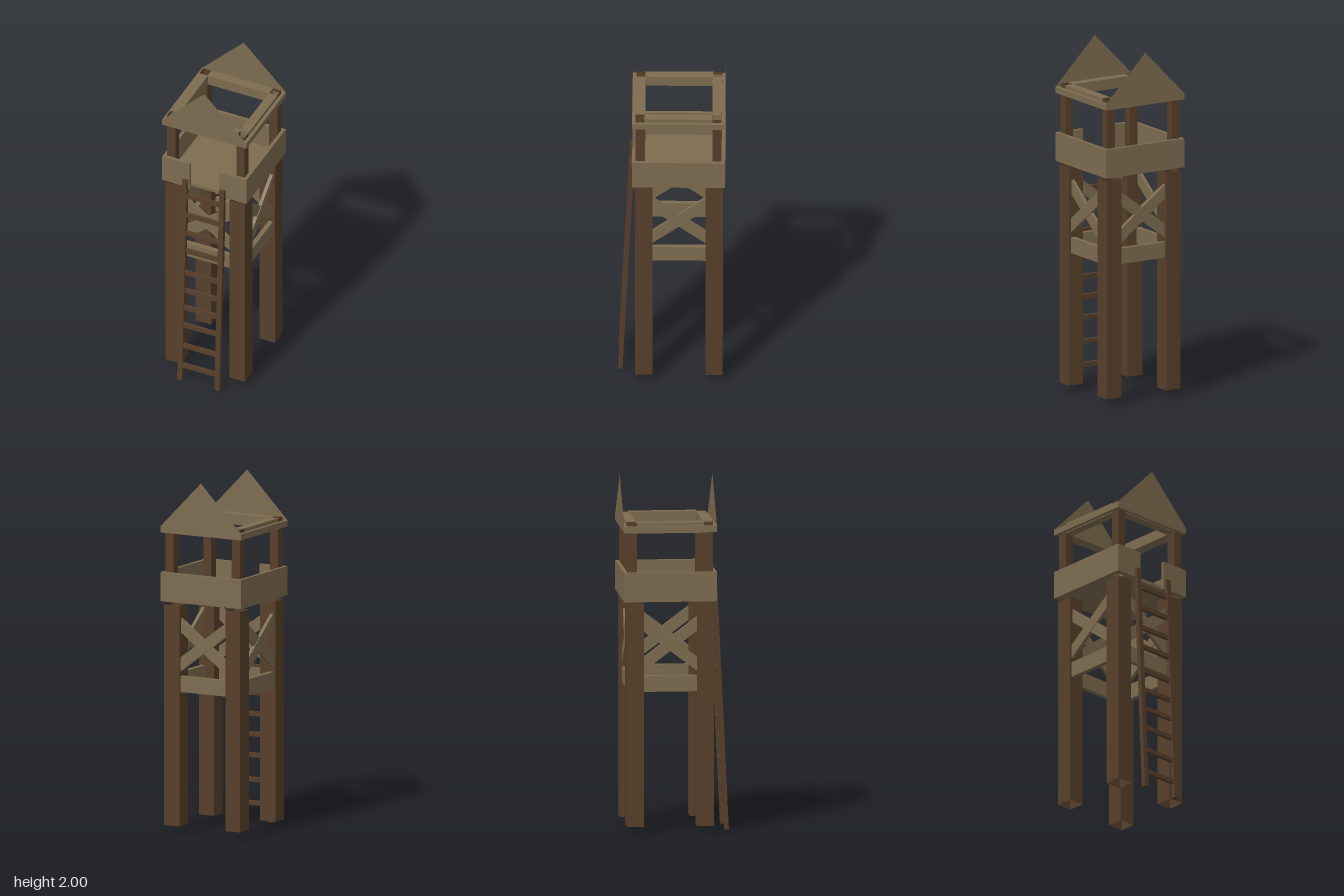
import * as THREE from 'three';

export function createModel() {
  const plankMat = new THREE.MeshStandardMaterial({ name: 'khaki planks', color: 0x7d6c50, side: THREE.DoubleSide });
  const timberMat = new THREE.MeshStandardMaterial({ name: 'dark timber', color: 0x573f2a, side: THREE.DoubleSide });

  const model = new THREE.Group();
  model.name = 'watchtower';
  const tower = new THREE.Group();
  tower.name = 'tower';
  tower.position.z = -0.04;
  model.add(tower);

  function add(parent, name, geometry, material) {
    const mesh = new THREE.Mesh(geometry, material);
    mesh.name = name;
    parent.add(mesh);
    return mesh;
  }

  // Box given by its low and high corners
  function box(x0, x1, y0, y1, z0, z1) {
    return new THREE.BoxGeometry(x1 - x0, y1 - y0, z1 - z0)
      .translate((x0 + x1) / 2, (y0 + y1) / 2, (z0 + z1) / 2);
  }

  // Hollow square timber: a box without its top and bottom faces
  function hollowBox(...corners) {
    const g = box(...corners);
    const index = Array.from(g.index.array);
    g.setIndex([...index.slice(0, 12), ...index.slice(24)]);
    g.clearGroups();
    return g;
  }

  // Flat outline extruded from z0 by depth
  function plate(points, z0, depth) {
    const shape = new THREE.Shape(points.map(([x, y]) => new THREE.Vector2(x, y)));
    return new THREE.ExtrudeGeometry(shape, { depth, bevelEnabled: false }).translate(0, 0, z0);
  }

  const sideNames = ['front', 'left', 'back', 'right'];
  sideNames.forEach((sideName, i) => {
    const side = new THREE.Group();
    side.name = sideName + 'Side';
    side.rotation.y = i * Math.PI / 2;
    tower.add(side);

    // Corner leg and the post above it
    add(side, 'leg', hollowBox(0.15, 0.245, 0.04, 1.29, 0.147, 0.245), timberMat);
    add(side, 'post', hollowBox(0.19, 0.24, 1.305, 1.755, 0.187, 0.24), timberMat);

    // Cross braces and the plank below them
    const w = 0.15;
    for (const s of [-1, 1]) {
      add(side, 'crossBrace', plate(
        [[-w * s, 0.915], [w * s, 1.14], [w * s, 1.22], [-w * s, 0.995]],
        s > 0 ? 0.212 : 0.208, 0.02), plankMat);
    }
    add(side, 'lowerPlank', box(-w, w, 0.8, 0.89, 0.205, 0.232), plankMat);

    // Parapet, open at the front for the ladder
    if (i === 0) {
      for (const s of [-1, 1]) {
        add(side, 'parapetPanel', box(s > 0 ? 0.09 : -0.26, s > 0 ? 0.26 : -0.09, 1.31, 1.475, 0.24, 0.26), plankMat);
      }
    } else {
      add(side, 'parapet', box(-0.26, 0.26, 1.31, 1.475, 0.24, 0.26), plankMat);
    }

    // Roof frame: inner beam and outer rim
    add(side, 'roofBeam', box(-0.19, 0.19, 1.695, 1.755, 0.187, 0.24), plankMat);
    add(side, 'roofRim', box(-0.26, 0.26, 1.7, 1.735, 0.24, 0.26), plankMat);

    // Gable sheets at the front and back
    if (i % 2 === 0) {
      const gable = new THREE.Shape([
        new THREE.Vector2(-0.26, 1.735), new THREE.Vector2(0.26, 1.735), new THREE.Vector2(0, 2)]);
      add(side, 'gable', new THREE.ShapeGeometry(gable).translate(0, 0, 0.26), plankMat);
    }
  });

  // Deck with its corners cut out around the posts
  const a = 0.19, b = 0.24;
  const deck = plate([[-a, -b], [a, -b], [a, -a], [b, -a], [b, a], [a, a],
    [a, b], [-a, b], [-a, a], [-b, a], [-b, -a], [-a, -a]], 0, 0.02);
  add(tower, 'deck', deck.rotateX(-Math.PI / 2).translate(0, 1.31, 0), plankMat);

  // Leaning ladder
  const ladder = new THREE.Group();
  ladder.name = 'ladder';
  ladder.position.set(0, 0.001, 0.287);
  ladder.rotation.x = -0.047;
  model.add(ladder);
  for (const s of [-1, 1]) {
    add(ladder, 'ladderRail', box(s * 0.115 - 0.015, s * 0.115 + 0.015, 0, 1.365, -0.0125, 0.0125), timberMat);
  }
  for (const y of [0.1, 0.235, 0.375, 0.495, 0.612, 0.733, 0.883, 1.003, 1.127, 1.257]) {
    add(ladder, 'rung', box(-0.102, 0.102, y - 0.013, y + 0.013, -0.009, 0.009), timberMat);
  }

  return model;
}
